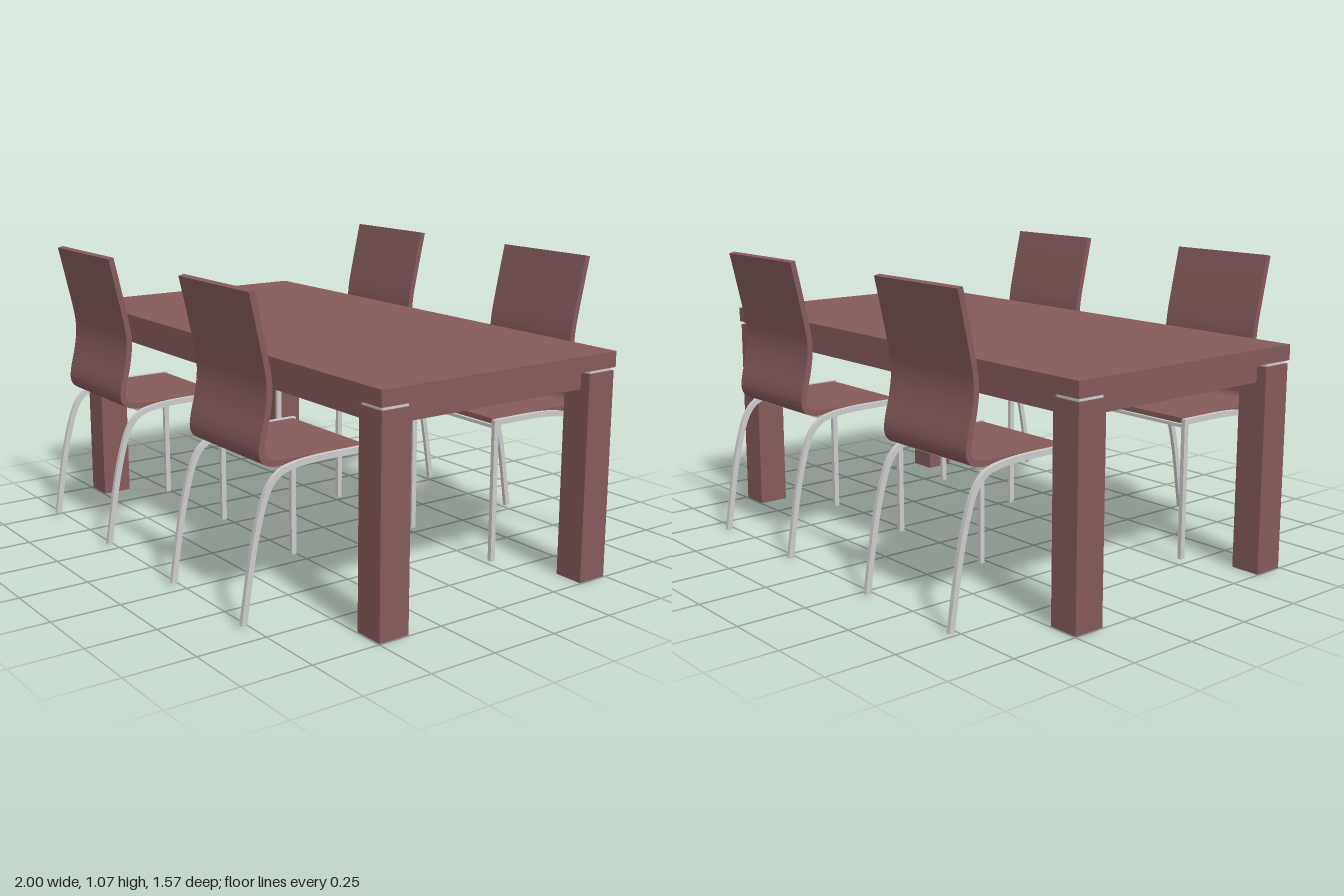
import * as THREE from 'three';
import { toCreasedNormals } from 'three/addons/utils/BufferGeometryUtils.js';

const wood = new THREE.MeshStandardMaterial({ color: 0x855a5a });
const metal = new THREE.MeshStandardMaterial({ color: 0xcccccc });

function box(parent, name, material, size, position) {
  const mesh = new THREE.Mesh(new THREE.BoxGeometry(...size), material);
  mesh.name = name;
  mesh.position.set(...position);
  parent.add(mesh);
  return mesh;
}

// Thickens a side-view centreline [z, y] and extrudes it across x.
function band(parent, name, material, points, thickness, width, x) {
  const side = (sign) => points.map((p, i) => {
    const a = points[Math.max(i - 1, 0)];
    const b = points[Math.min(i + 1, points.length - 1)];
    const t = b.clone().sub(a).normalize();
    return new THREE.Vector2(p.x - t.y * sign * thickness / 2, p.y + t.x * sign * thickness / 2);
  });
  const shape = new THREE.Shape([...side(1), ...side(-1).reverse()]);
  const geometry = new THREE.ExtrudeGeometry(shape, { depth: width, bevelEnabled: false });
  geometry.translate(0, 0, -width / 2).rotateY(-Math.PI / 2);
  const mesh = new THREE.Mesh(toCreasedNormals(geometry, 0.6), material);
  mesh.name = name;
  mesh.position.x = x;
  parent.add(mesh);
}

const smooth = (pairs, n) =>
  new THREE.SplineCurve(pairs.map(([z, y]) => new THREE.Vector2(z, y))).getPoints(n);

function createTable() {
  const table = new THREE.Group();
  table.name = 'table';
  box(table, 'tableTop', wood, [2, 0.055, 1], [0, 0.777, 0]);
  for (const s of [-1, 1]) {
    box(table, 'longApron', wood, [1.77, 0.07, 0.035], [0, 0.715, s * 0.44]);
    box(table, 'endApron', wood, [0.035, 0.07, 0.77], [s * 0.94, 0.715, 0]);
    for (const t of [-1, 1]) {
      box(table, 'tableLeg', wood, [0.112, 0.738, 0.115], [s * 0.94, 0.369, t * 0.438]);
      box(table, 'legPlate', metal, [0.1, 0.012, 0.1], [s * 0.94, 0.744, t * 0.438]);
    }
  }
  return table;
}

// Chair with its back towards +z; foot is the height of the leg ends.
function createChair(foot) {
  const chair = new THREE.Group();
  chair.name = 'chair';

  // One bent sheet forms the seat and back
  const shell = smooth([
    [0.285, 0.515], [0.45, 0.515], [0.57, 0.517], [0.64, 0.519], [0.677, 0.53],
    [0.692, 0.555], [0.688, 0.6], [0.671, 0.67], [0.661, 0.74], [0.665, 0.81],
    [0.69, 0.93], [0.722, 1.072],
  ], 60);
  band(chair, 'seatAndBack', wood, shell, 0.021, 0.428, 0);

  // Side frames: rail curving into the splayed leg, plus the straight leg
  const rail = smooth([
    [0.27, 0.517], [0.4, 0.517], [0.5, 0.515], [0.58, 0.507], [0.635, 0.49],
    [0.675, 0.45], [0.705, 0.375], [0.738, 0.24], [0.776, foot],
  ], 40);
  for (const s of [-1, 1]) {
    band(chair, 'railAndSplayedLeg', metal, rail, 0.02, 0.016, s * 0.225);
    box(chair, 'straightLeg', metal, [0.016, 0.517 - foot, 0.02],
      [s * 0.225, (0.517 + foot) / 2, 0.28]);
  }

  // Bars under the seat
  for (const z of [0.28, 0.62]) {
    box(chair, 'crossbar', metal, [0.45, 0.012, 0.014], [0, 0.501, z]);
  }
  return chair;
}

export function createModel() {
  const model = new THREE.Group();
  model.name = 'diningSet';
  model.add(createTable());
  for (const x of [-0.505, 0.43]) {
    const front = createChair(0.012);
    front.position.x = x;
    const rear = createChair(0.002);
    rear.position.x = x;
    rear.rotation.y = Math.PI;
    model.add(front, rear);
  }
  return model;
}
